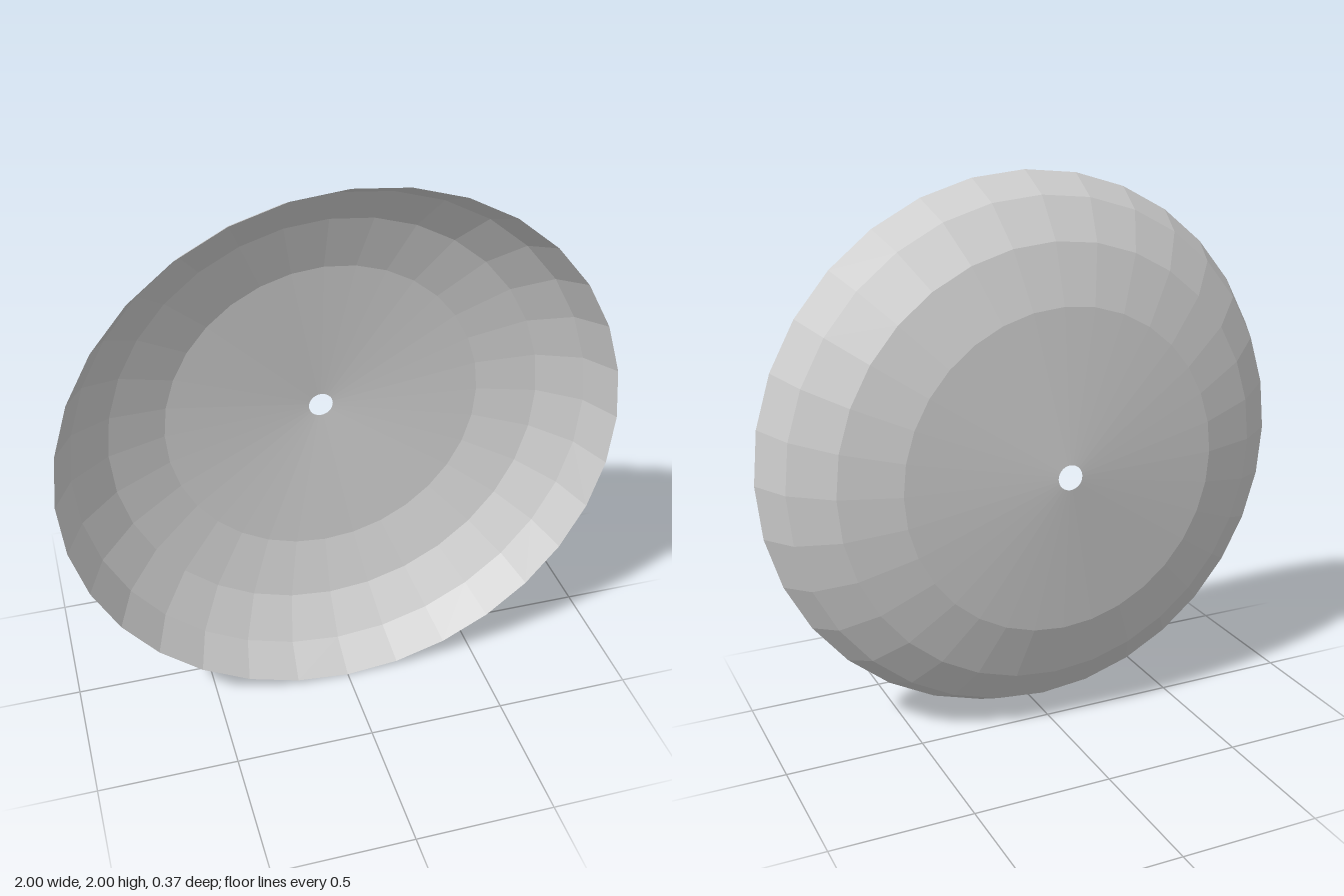
import * as THREE from 'three';

export function createModel() {
  const group = new THREE.Group();
  group.name = 'dish';

  // Thin open shell: radius and depth from the centre hole out to the rim
  const profile = [
    [0.045, -0.185],
    [0.583, -0.135],
    [0.79, -0.065],
    [0.93, 0.045],
    [1, 0.185],
  ].map(([r, z]) => new THREE.Vector2(r, z));

  const geometry = new THREE.LatheGeometry(profile, 32);
  geometry.rotateX(Math.PI / 2); // turn the axis to z, open side to the front

  const shell = new THREE.Mesh(geometry, new THREE.MeshStandardMaterial({
    color: 0xcccccc,
    flatShading: true,
    side: THREE.DoubleSide,
  }));
  shell.name = 'dishShell';
  shell.position.y = 1;
  group.add(shell);

  return group;
}
